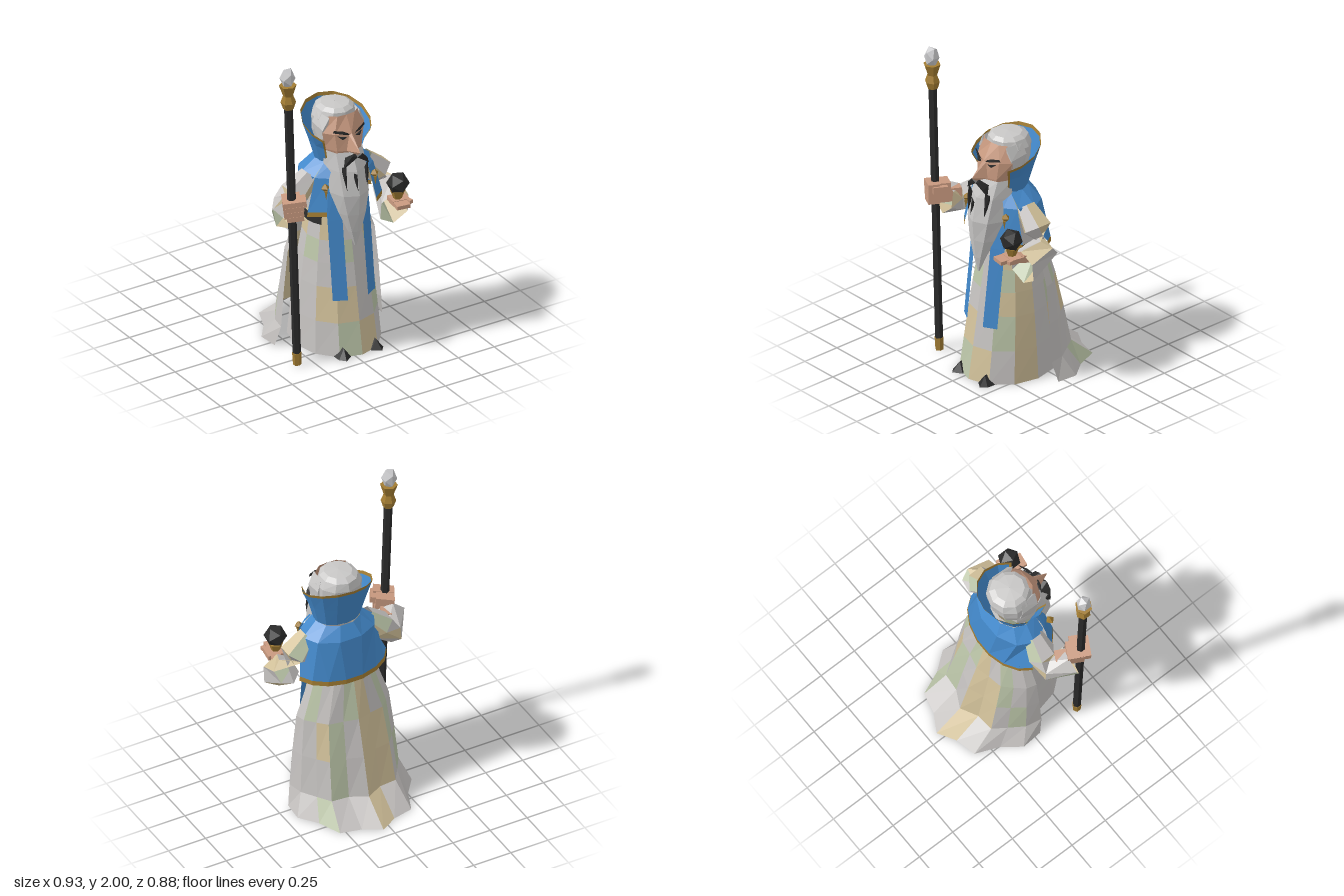
import * as THREE from 'three';
import { ConvexGeometry } from 'three/addons/geometries/ConvexGeometry.js';

const CX = 0.045; // body centre line
const V = (x, y, z) => new THREE.Vector3(x, y, z);
const mat = (name, color) => {
  const m = new THREE.MeshStandardMaterial({ color, flatShading: true, side: THREE.DoubleSide });
  m.name = name;
  return m;
};

export function createModel() {
  const blue = mat('blue cloth', 0x4389cb), gold = mat('gold', 0xa37d33), skin = mat('skin', 0xc99a80);
  const black = mat('black', 0x2b2b2b), grey = mat('robe grey', 0xc6c3c1), tan = mat('robe tan', 0xd3c29b);
  const sage = mat('robe sage', 0xbcc6a9), hair = mat('hair', 0xc8c7c6), crystal = mat('crystal', 0xcbcbcd);
  const root = new THREE.Group();
  root.name = 'wizard';

  const add = (name, geometry, material, pos, rot) => {
    const m = new THREE.Mesh(geometry, material);
    m.name = name;
    if (pos) m.position.set(...pos);
    if (rot) m.rotation.set(...rot);
    root.add(m);
  };
  // skins rings of points (bottom to top); pick(row, column) gives the face material
  const loft = (name, rings, pick, closed = true) => {
    const lists = new Map();
    const n = rings[0].length;
    for (let i = 0; i < rings.length - 1; i++) {
      for (let j = 0; j < (closed ? n : n - 1); j++) {
        const k = (j + 1) % n, m = pick(i, j);
        if (!lists.has(m)) lists.set(m, []);
        const [a, b, c, d] = [rings[i][j], rings[i][k], rings[i + 1][k], rings[i + 1][j]];
        lists.get(m).push(a, b, c, a, c, d);
      }
    }
    const geo = new THREE.BufferGeometry().setFromPoints([...lists.values()].flat());
    let start = 0;
    [...lists.values()].forEach((l, i) => { geo.addGroup(start, l.length, i); start += l.length; });
    geo.computeVertexNormals();
    add(name, geo, [...lists.keys()]);
  };
  // ellipse ring around the body; degrees start at the front and turn towards +x
  const steps = (from, to, n) => Array.from({ length: n + 1 }, (_, i) => from + (to - from) * i / n);
  const full = (n) => steps(0, 360, n).slice(0, n);
  const ring = (angles, y, rx, cz, rz) => angles.map((d) => {
    const t = d * Math.PI / 180, z = cz + rz * Math.cos(t);
    return V(CX + rx * Math.sin(t), typeof y === 'function' ? y(z) : y, z);
  });
  const convex = (name, pts, material) => add(name, new ConvexGeometry(pts.map((p) => V(CX + p[0], p[1], p[2]))), material);
  // patchwork cloth: one letter per face
  const cloth = { G: grey, T: tan, S: sage };
  const patch = (rows) => (i, j) => cloth[rows[i][j]];

  // gown
  const a12 = full(12);
  loft('gown', [[0, .265, .1, .315], [.21, .25, .1, .28], [.43, .23, .1, .245], [.58, .212, .1, .22], [.72, .19, .1, .195],
    [.87, .168, .1, .17], [1.05, .17, .12, .145], [1.2, .12, .13, .1]].map((r) => ring(a12, ...r)),
    patch(['TGTGGTGSGGGS', 'GSTGTGGTGGTT', 'GTTGSGTGGGGG', 'GSTGGTGSGSGS', 'GTTGTGSGTGTG', 'GTGGGGGGGGTG', 'GGSGGGGGGSGG']));

  // trailing coat, open at the front; half outlines run from the back to the front edge
  const half = (y, pts) => {
    const right = pts.map(([x, z]) => V(CX + x, y, z));
    const left = pts.slice(1).map(([x, z]) => V(CX - x, y, z));
    return [...right.reverse(), ...left];
  };
  const hem = [[0, -.44], [.11, -.375], [.24, -.345], [.3, -.2], [.385, -.09], [.375, .04]];
  const low = [[0, -.265], [.105, -.21], [.215, -.2], [.27, -.12], [.33, -.03], [.35, .07]];
  const waist = [[0, -.075], [.06, -.07], [.11, -.05], [.16, -.01], [.195, .03], [.205, .07]];
  const mix = (f, g) => low.map(([x, z], i) => [x + (waist[i][0] - x) * f, z + (waist[i][1] - z) * g]);
  loft('coat', [half(0, hem), half(.13, low), half(.38, mix(.14, .32)), half(.62, mix(.32, .65)), half(.9, waist)],
    patch(['GGSGGTGGGG', 'GGGSGTTGSG', 'GGTSGTTSGG', 'GSGGSTGSGG']), false);

  // shoulder mantle with gold hem: a back panel and two front panels, slit for the arms
  const hemY = (z) => .87 + (z + .095) * .13;
  const panel = (name, low, high, n, rz) => {
    const [a, b] = [steps(...low, n), steps(...high, n)];
    loft(name, [ring(a, hemY, .305, .1, rz), ring(a, (z) => hemY(z) + .028, .3, .1, rz - .003),
      ring(b, 1.15, .24, .11, .165 + (rz - .197) * .5), ring(b, 1.23, .145, .125, .128)], (i) => (i === 0 ? gold : blue), false);
  };
  panel('mantleBack', [105, 255], [57, 303], 7, .197);
  panel('mantleFront', [35, 60], [35, 58], 1, .24);
  panel('mantleFront', [300, 325], [302, 325], 1, .24);

  // high collar with gold rim
  const ac = [50, 54, ...steps(74, 286, 8), 306, 310];
  const rim = (z) => 1.53 - (z + .085) * .37;
  const cols = ac.length - 2;
  loft('collar', [ring(ac, (z) => 1.24 - z * .15, .14, .125, .125), ring(ac, (z) => 1.37 - z * .2, .175, .12, .16),
    ring(ac, (z) => rim(z) - .02, .207, .12, .2), ring(ac, rim, .213, .12, .205)],
    (i, j) => (i === 2 || j === 0 || j === cols ? gold : blue), false);

  // hair cap
  const a10 = full(10);
  loft('hair', [[1.26, .1, .11, .09], [1.4, .14, .1, .12], [1.49, .14, .1, .13], [1.54, .115, .105, .122],
    [1.56, .085, .11, .09], [1.567, .001, .11, .001]].map((r) => ring(a10, ...r)), () => hair);

  // face
  const faceRing = (y, w, zs, c, zc, zf) => [[-w, zs], [-c, zc], [0, zf], [c, zc], [w, zs]].map(([x, z]) => V(CX + x, y, z));
  loft('face', [faceRing(1.22, .1, .18, .07, .255, .29), faceRing(1.32, .13, .19, .085, .27, .305),
    faceRing(1.43, .147, .2, .095, .26, .295), faceRing(1.53, .1, .2, .06, .232, .238)], () => skin, false);
  convex('nose', [[0, 1.435, .29], [-.015, 1.42, .29], [.015, 1.42, .29], [0, 1.34, .39], [-.038, 1.325, .3],
    [.038, 1.325, .3], [0, 1.315, .36]], skin);

  // beard
  const a8 = full(8);
  loft('beard', [[.7, .006, .335, .006], [.8, .045, .325, .035], [.92, .09, .295, .08], [1.05, .124, .25, .135],
    [1.2, .132, .2, .155], [1.31, .13, .18, .125]].map((r) => ring(a8, ...r)), () => hair);

  for (const s of [-1, 1]) {
    // temple hair between cap and face
    convex('templeHair', [[s * .147, 1.46, .09], [s * .146, 1.445, .205], [s * .105, 1.525, .215], [s * .128, 1.28, .19],
      [s * .11, 1.28, .1], [s * .12, 1.525, .1], [s * .06, 1.4, .13]], hair);

    // brows, eyes and moustache
    convex('brow', [[s * .018, 1.427, .297], [s * .03, 1.443, .3], [s * .105, 1.462, .265], [s * .112, 1.447, .262],
      [s * .06, 1.438, .294], [s * .06, 1.458, .29]], black);
    convex('eye', [[s * .028, 1.41, .292], [s * .085, 1.423, .272], [s * .06, 1.4, .291], [s * .055, 1.415, .293], [s * .055, 1.41, .27]], black);
    convex('moustache', [[0, 1.315, .335], [0, 1.298, .36], [s * .035, 1.318, .362], [s * .088, 1.235, .345],
      [s * .07, 1.28, .358], [s * .05, 1.283, .3]], black);
    convex('moustacheStrand', [[s * .072, 1.25, .35], [s * .09, 1.24, .328], [s * .083, 1.17, .352], [s * .07, 1.09, .357],
      [s * .075, 1.18, .31]], black);

    // stole
    const strip = [[.36, .365, .32], [.87, .305, .262], [1.18, .262, .21]].map(([y, zi, zo]) => {
      const p = [V(CX + s * .07, y, zi), V(CX + s * .148, y, zo)];
      return s > 0 ? p : p.reverse();
    });
    loft('stole', strip, () => blue, false);

    // belt end, clasp and pendant
    const ab = steps(s * 80 - 25, s * 80 + 25, 3);
    loft('belt', [ring(ab, .82, .19, .1, .185), ring(ab, .875, .182, .1, .178)], () => black, false);
    add('clasp', new THREE.OctahedronGeometry(.028), gold, [CX + s * .172, 1.105, .275]);
    add('pendant', new THREE.ConeGeometry(.012, .06, 4), gold, [CX + s * .172, 1.06, .285], [Math.PI, 0, 0]);

    // shoe toes
    const x = s * .112;
    convex('shoe', [[x - .045, 0, .34], [x + .045, 0, .34], [x - .042, 0, .4], [x + .042, 0, .4], [x + s * .012, 0, .435],
      [x, .06, .385], [x, .062, .35]], black);
  }
  convex('beardStreak', [[-.028, 1.2, .365], [-.008, 1.19, .372], [-.014, 1.09, .39], [-.018, 1.15, .35]], black);

  // sleeves: hexagonal rings [centre, direction, radius]
  const sleeve = (name, defs, shift) => loft(name, defs.map(([c, d, r]) => {
    const q = new THREE.Quaternion().setFromUnitVectors(V(0, 1, 0), V(...d).normalize());
    return full(6).map((g) => {
      const t = g * Math.PI / 180;
      return V(r * Math.sin(t), 0, r * Math.cos(t)).applyQuaternion(q).add(V(...c));
    });
  }), (i, j) => [tan, grey, grey, sage, tan, grey][(j + i * 2 + shift) % 6]);
  sleeve('leftSleeve', [[[.23, 1.14, .13], [.8, -1, 0], .06], [[.33, 1.03, .125], [.7, -1, 0], .092],
    [[.39, .93, .115], [.1, -.7, .7], .082], [[.36, .83, .27], [0, -.1, 1], .11]], 0);
  sleeve('rightSleeve', [[[-.14, 1.14, .13], [-.8, -1, 0], .06], [[-.24, 1.04, .12], [-.7, -1, 0], .09],
    [[-.315, .965, .12], [-1, 0, .7], .08], [[-.37, .99, .24], [-.2, .25, 1], .1]], 1);

  // open left hand holding the orb
  const hand = new THREE.Group();
  hand.name = 'leftHand';
  hand.position.set(.35, .915, .33);
  hand.rotation.y = -.15;
  root.add(hand);
  const box = (parent, name, size, pos, rot = [0, 0, 0]) => {
    const m = new THREE.Mesh(new THREE.BoxGeometry(...size), skin);
    m.name = name;
    m.position.set(...pos);
    m.rotation.set(...rot);
    parent.add(m);
  };
  box(hand, 'palm', [.11, .03, .09], [0, 0, 0]);
  box(hand, 'wrist', [.06, .045, .14], [.01, -.02, -.09], [-.25, 0, 0]);
  box(hand, 'fingers', [.085, .024, .07], [-.012, 0, .07]);
  box(hand, 'thumb', [.025, .022, .05], [.045, .004, .045], [0, .3, 0]);
  add('orbStand', new THREE.CylinderGeometry(.045, .025, .055, 6), gold, [.34, .955, .335]);
  add('orb', new THREE.IcosahedronGeometry(.07), black, [.34, 1.032, .338]);

  // right fist around the staff
  const fist = new THREE.Group();
  fist.name = 'rightHand';
  fist.position.set(-.365, 1.055, .285);
  fist.rotation.set(0, -.5, .12);
  root.add(fist);
  box(fist, 'palm', [.11, .12, .1], [0, 0, -.01]);
  box(fist, 'wrist', [.07, .08, .12], [-.01, -.03, -.07]);
  for (let i = 0; i < 4; i++) box(fist, 'finger', [.125 - i * .008, .031, .07], [.01, .048 - i * .032, .045]);
  box(fist, 'thumb', [.035, .04, .09], [.07, .03, .01]);

  // staff, leaning outwards
  const staff = new THREE.Group();
  staff.name = 'staff';
  staff.position.set(-.342, 0, .305);
  staff.rotation.z = .035;
  root.add(staff);
  const turned = (name, profile, material) => {
    const m = new THREE.Mesh(new THREE.LatheGeometry(profile.map((p) => new THREE.Vector2(...p)), 6).toNonIndexed(), material);
    m.geometry.computeVertexNormals();
    m.name = name;
    staff.add(m);
  };
  turned('ferrule', [[0, 0], [.025, 0], [.028, .08], [0, .08]], gold);
  turned('shaft', [[.025, .08], [.026, 1.74]], black);
  turned('staffHead', [[0, 1.73], [.032, 1.735], [.046, 1.78], [.03, 1.825], [.053, 1.895], [0, 1.895]], gold);
  const gem = new THREE.Mesh(new THREE.IcosahedronGeometry(.05).scale(.95, 1.4, .95), crystal);
  gem.name = 'crystal';
  gem.position.y = 1.941;
  staff.add(gem);
  return root;
}
